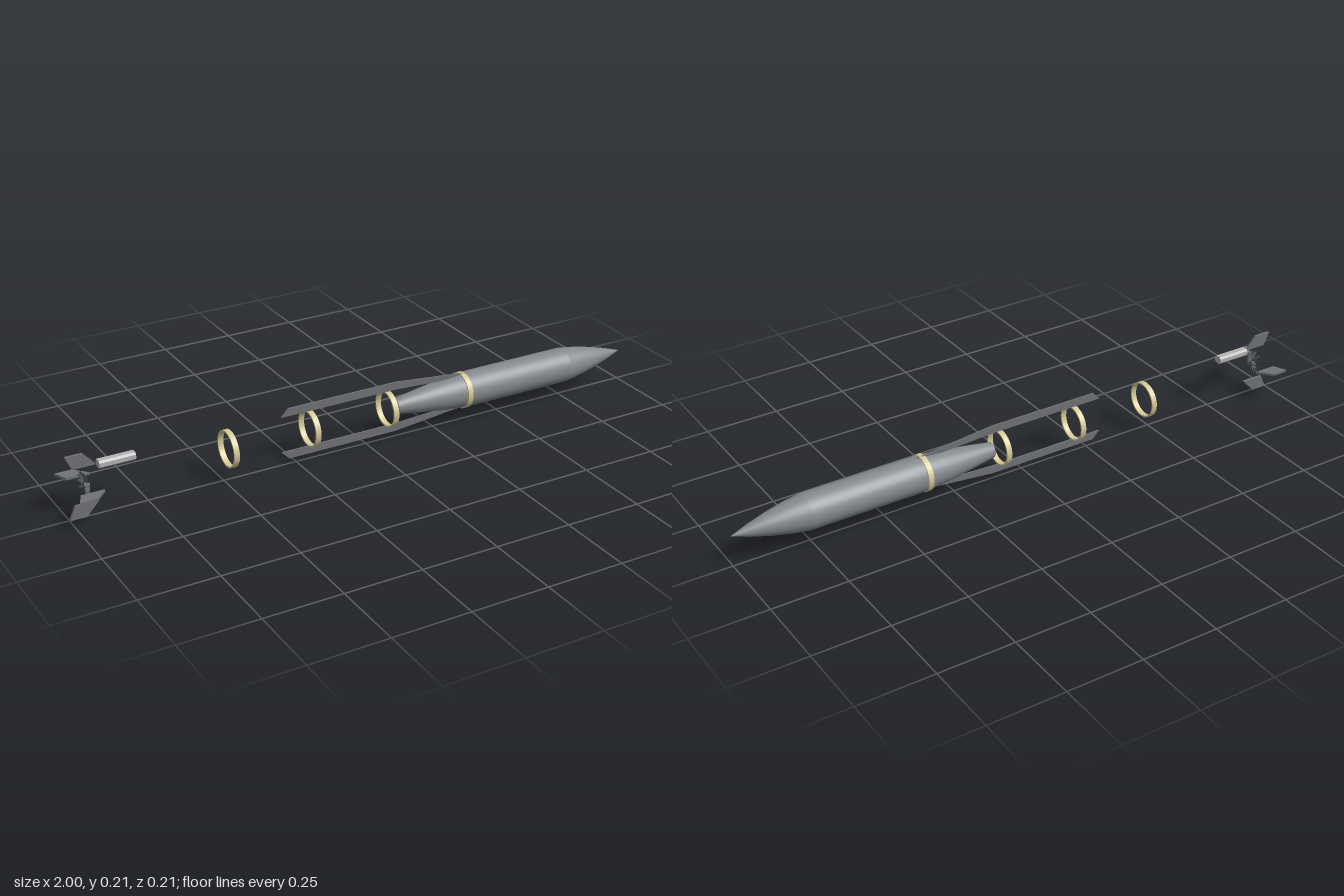
import * as THREE from 'three';

const AXIS = 0.104; // height of the centre line
const mat = (color, extra = {}) => new THREE.MeshStandardMaterial({ color, ...extra });
const hullMat = mat(0x858a8e);
const railMat = mat(0x707276, { flatShading: true });
const finMat = mat(0x707276, { flatShading: true });
const bladeMat = mat(0x606266, { side: THREE.DoubleSide });
const ringMat = mat(0xd6ca98);
const motorMat = mat(0xb4b4b4, { flatShading: true });

function add(parent, name, geometry, material) {
  const mesh = new THREE.Mesh(geometry, material);
  mesh.name = name;
  parent.add(mesh);
  return mesh;
}

// Lathe around the x axis from [x, radius] pairs; creases between profile sections
function turned(points, segments = 40) {
  return new THREE.LatheGeometry(points.map(([x, r]) => new THREE.Vector2(r, x)), segments)
    .rotateZ(-Math.PI / 2);
}

// Flat plate in the xy plane, centred on z = 0
function plate(points, depth) {
  const shape = new THREE.Shape(points.map(([x, y]) => new THREE.Vector2(x, y)));
  return new THREE.ExtrudeGeometry(shape, { depth, bevelEnabled: false }).translate(0, 0, -depth / 2);
}

export function createModel() {
  const model = new THREE.Group();
  model.name = 'torpedo';
  const axis = new THREE.Group();
  axis.name = 'centreLine';
  axis.position.y = AXIS;
  model.add(axis);

  // Hull: tail cone, straight barrel and pointed nose
  const hull = new THREE.Group();
  hull.name = 'hull';
  axis.add(hull);
  add(hull, 'tailCap', turned([[0.11, 0], [0.11, 0.025]]), hullMat);
  add(hull, 'tailCone', turned([[0.11, 0.025], [0.2, 0.039], [0.29, 0.051], [0.36, 0.057], [0.4, 0.058]]), hullMat);
  add(hull, 'barrel', turned([[0.4, 0.058], [0.76, 0.058]]), hullMat);
  add(hull, 'nose', turned([[0.76, 0.058], [0.82, 0.049], [0.88, 0.036], [0.94, 0.02], [1, 0]]), hullMat);

  // Clamp bands spaced along the axis
  for (const x of [-0.48, -0.2, 0.08, 0.36]) {
    const w = 0.009;
    const band = new THREE.Group();
    band.name = 'band';
    band.position.x = x;
    axis.add(band);
    add(band, 'bandOuter', turned([[-w, 0.06], [w, 0.06]]), ringMat);
    add(band, 'bandInner', turned([[w, 0.055], [-w, 0.055]]), ringMat);
    add(band, 'bandFront', turned([[w, 0.06], [w, 0.055]]), ringMat);
    add(band, 'bandBack', turned([[-w, 0.055], [-w, 0.06]]), ringMat);
  }

  // Rails above and below
  const railGeo = plate([[-0.3, 0.06], [0.11, 0.06], [0.3, 0.05], [0.38, 0.058],
    [0.11, 0.086], [-0.275, 0.086]], 0.005);
  for (const turn of [0, Math.PI]) {
    add(axis, turn ? 'lowerRail' : 'upperRail', railGeo, railMat).rotation.x = turn;
  }

  // Four swept tail fins
  const finGeo = plate([[-0.98, 0.06], [-0.905, 0.06], [-0.945, 0.104], [-1, 0.104]], 0.008);
  for (let i = 0; i < 4; i++) {
    add(axis, 'tailFin', finGeo, finMat).rotation.x = i * Math.PI / 2;
  }

  // Propeller: small hub with pitched, backward-curving blades
  const propeller = new THREE.Group();
  propeller.name = 'propeller';
  propeller.position.x = -0.94;
  axis.add(propeller);
  add(propeller, 'hub', new THREE.CylinderGeometry(0.01, 0.01, 0.016, 16).rotateZ(Math.PI / 2), bladeMat);
  const bladeGeo = new THREE.PlaneGeometry(0.016, 0.034, 1, 5).translate(0, 0.025, 0);
  const pos = bladeGeo.attributes.position;
  for (let i = 0; i < pos.count; i++) {
    const y = pos.getY(i), t = (y - 0.008) / 0.034;
    const chord = pos.getX(i) * (1 - 0.55 * t), pitch = 0.5 + 0.5 * t;
    pos.setXYZ(i, chord * Math.cos(pitch) - 0.01 * t * t, y, chord * Math.sin(pitch));
  }
  bladeGeo.computeVertexNormals();
  const count = 12;
  for (let i = 0; i < count; i++) {
    add(propeller, 'blade', bladeGeo, bladeMat).rotation.x = i * 2 * Math.PI / count;
  }

  // Motor: chamfered bar along x, set above the axis
  const w = 0.015, h = 0.0125, c = 0.006;
  const section = [[-w, -h + c], [-w + c, -h], [w - c, -h], [w, -h + c],
    [w, h - c], [w - c, h], [-w + c, h], [-w, h - c]];
  const motor = add(axis, 'motor', plate(section, 0.115).rotateY(Math.PI / 2), motorMat);
  motor.position.set(-0.8425, 0.058, 0);

  return model;
}
